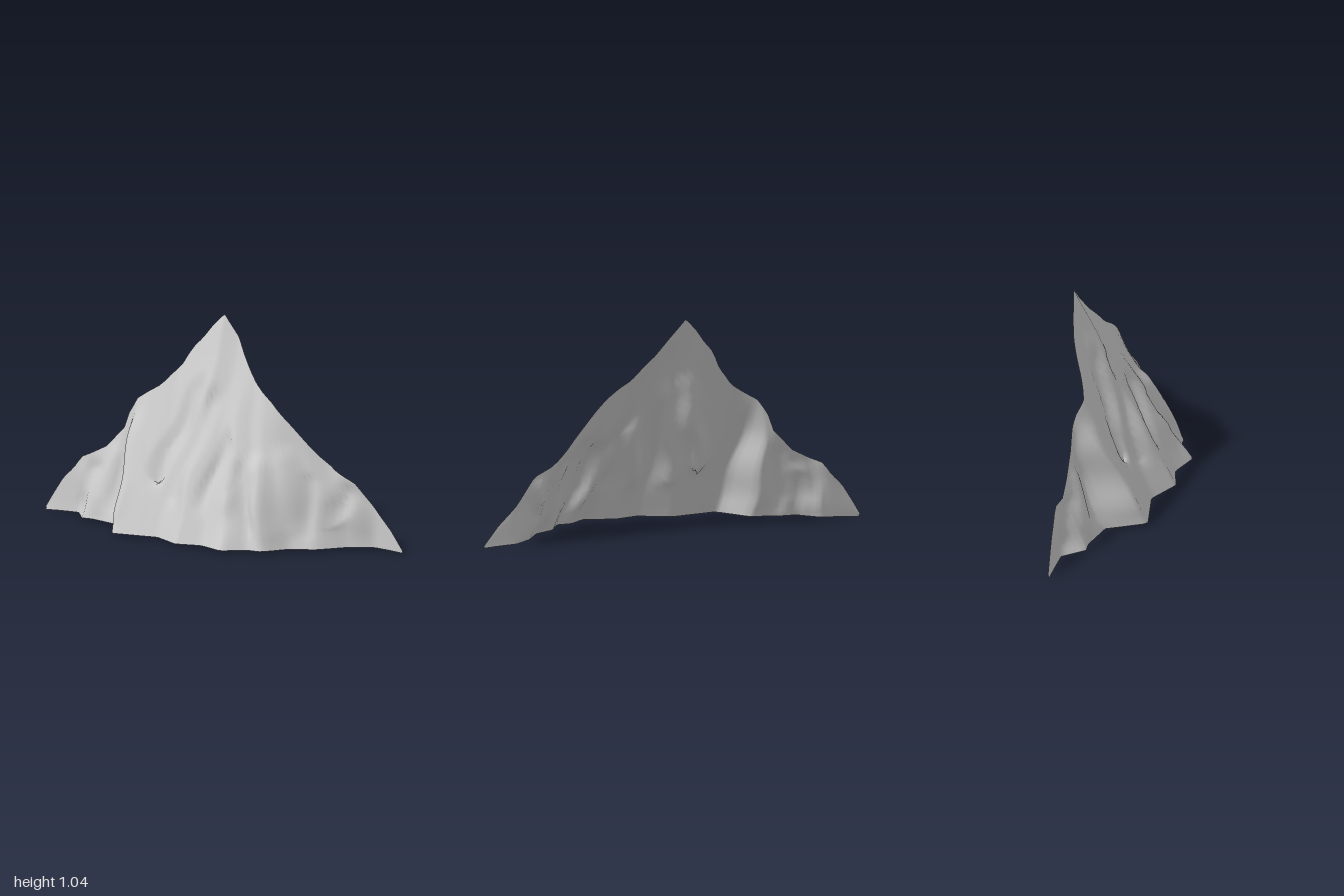
import * as THREE from 'three';

// Linear lookup in a list of [x, value] points
function sample(points, x) {
  for (let i = 1; i < points.length; i++) {
    const [x0, v0] = points[i - 1], [x1, v1] = points[i];
    if (x <= x1) return v0 + (v1 - v0) * Math.max(0, (x - x0) / (x1 - x0));
  }
  return points[points.length - 1][1];
}

// Skyline height, skyline depth and foot depth across the width
const ridgeY = [[-1, 0.015], [-0.96, 0.08], [-0.9, 0.17], [-0.85, 0.215], [-0.8, 0.28], [-0.74, 0.305],
  [-0.65, 0.35], [-0.55, 0.45], [-0.52, 0.53], [-0.47, 0.605], [-0.42, 0.635], [-0.33, 0.69], [-0.28, 0.75],
  [-0.25, 0.775], [-0.2, 0.87], [-0.15, 0.92], [-0.1, 0.985], [-0.04, 1.045], [0.0, 1.0], [0.05, 0.945],
  [0.1, 0.87], [0.15, 0.81], [0.2, 0.75], [0.3, 0.675], [0.4, 0.58], [0.55, 0.43], [0.64, 0.36],
  [0.73, 0.32], [0.85, 0.18], [0.93, 0.1], [1, 0.01]];
const ridgeZ = [[-1, -0.2], [-0.8, -0.205], [-0.75, -0.18], [-0.5, -0.18], [-0.4, -0.145], [-0.33, -0.165],
  [-0.28, -0.19], [-0.2, -0.235], [-0.13, -0.25], [-0.04, -0.265], [0.05, -0.25], [0.15, -0.185],
  [0.25, -0.14], [0.35, -0.125], [0.5, -0.15], [0.6, -0.18], [0.7, -0.175], [0.83, -0.21], [1, -0.19]];
const footZ = [[-1, -0.195], [-0.8, -0.175], [-0.72, -0.07], [-0.66, -0.07], [-0.5, -0.02], [-0.41, 0.17],
  [-0.17, 0.14], [-0.02, 0.23], [0.11, 0.2], [0.25, 0.26], [0.35, 0.18], [0.43, 0.18], [0.51, 0.06],
  [0.63, 0], [0.72, -0.12], [0.83, -0.2], [1, -0.19]];
// Where each rib starting at a foot x meets the skyline
const ridgeX = [[-1, -1], [-0.72, -0.68], [-0.5, -0.52], [-0.41, -0.46], [-0.17, -0.15], [-0.02, -0.05],
  [0.11, 0.03], [0.25, 0.11], [0.35, 0.18], [0.43, 0.26], [0.51, 0.38], [0.63, 0.53], [0.72, 0.66],
  [0.83, 0.8], [1, 1]];

// Gullies (negative) and ribs (positive): start x, y, end x, y, width, depth
const folds = [
  [-0.5, 0.5, -0.52, 0.08, 0.04, -0.025], [-0.46, 0.5, -0.42, 0.1, 0.04, 0.02],
  [-0.7, 0.24, -0.76, 0.05, 0.04, -0.02], [-0.6, 0.33, -0.64, 0.05, 0.04, 0.02],
  [-0.1, 0.7, -0.25, 0.3, 0.04, -0.025], [0.0, 0.65, -0.12, 0.22, 0.04, -0.025],
  [0.12, 0.48, 0.06, 0.2, 0.03, -0.025], [0.23, 0.14, 0.23, 0.08, 0.04, -0.02],
  [0.21, 0.36, 0.33, 0.1, 0.03, -0.025], [0.3, 0.38, 0.41, 0.08, 0.04, 0.035],
  [0.42, 0.42, 0.49, 0.1, 0.04, 0.025], [0.53, 0.32, 0.58, 0.08, 0.03, -0.02],
  [0.7, 0.28, 0.67, 0.2, 0.04, -0.025],
];
// Small overhanging ledges: x, y, size, drop, push
const ledges = [[-0.24, 0.32, 0.04, 0.085, 0.03], [-0.12, 0.23, 0.035, 0.04, 0.02],
  [0.2, 0.3, 0.03, 0.03, 0.015], [0.65, 0.14, 0.04, 0.03, 0.02]];

function foldDepth(x, y) {
  let z = 0;
  for (const [x0, y0, x1, y1, w, d] of folds) {
    const dx = x1 - x0, dy = y1 - y0;
    const s = THREE.MathUtils.clamp(((x - x0) * dx + (y - y0) * dy) / (dx * dx + dy * dy), 0, 1);
    const r = Math.hypot(x - x0 - s * dx, y - y0 - s * dy);
    z += d * Math.max(0, 1 - r / (w * 1.6));
  }
  return z;
}

export function createModel() {
  const columns = 100, rows = 26, position = [], index = [];

  // Open rock sheet lofted from the foot line up to the skyline, ribs fanning from the peak
  for (let j = 0; j <= rows; j++) {
    for (let i = 0; i <= columns; i++) {
      const u = -1 + (2 * i) / columns, t = j / rows, top = sample(ridgeX, u);
      const foot = 0.012 * (1 - Math.abs(u) ** 8);
      const x = THREE.MathUtils.lerp(u, top, t);
      let y = THREE.MathUtils.lerp(foot, sample(ridgeY, top), t);
      let z = THREE.MathUtils.lerp(sample(footZ, u), sample(ridgeZ, top), t);
      const inside = Math.min(1, 5 * t * (1 - t));
      z += inside * foldDepth(x, y);
      for (const [lx, ly, size, drop, push] of ledges) {
        const g = inside * Math.exp(-((x - lx) ** 2 + (y - ly) ** 2) / (size * size));
        y -= g * drop;
        z += g * push;
      }
      // slight sideways wander so the ribs do not run dead straight
      position.push(x + inside * 0.01 * Math.sin(y * 17 + x * 6), y, z);
    }
  }
  for (let j = 0; j < rows; j++) {
    for (let i = 0; i < columns; i++) {
      const a = j * (columns + 1) + i, b = a + 1, c = a + columns + 1, d = c + 1;
      if ((i + j) % 2) index.push(a, b, d, a, d, c);
      else index.push(a, b, c, b, d, c);
    }
  }

  const geometry = new THREE.BufferGeometry();
  geometry.setAttribute('position', new THREE.Float32BufferAttribute(position, 3));
  geometry.setIndex(index);
  geometry.computeVertexNormals();

  const mountain = new THREE.Mesh(geometry,
    new THREE.MeshStandardMaterial({ color: 0xcccccc, side: THREE.DoubleSide }));
  mountain.name = 'mountainFace';
  const group = new THREE.Group();
  group.name = 'mountain';
  group.add(mountain);
  return group;
}
